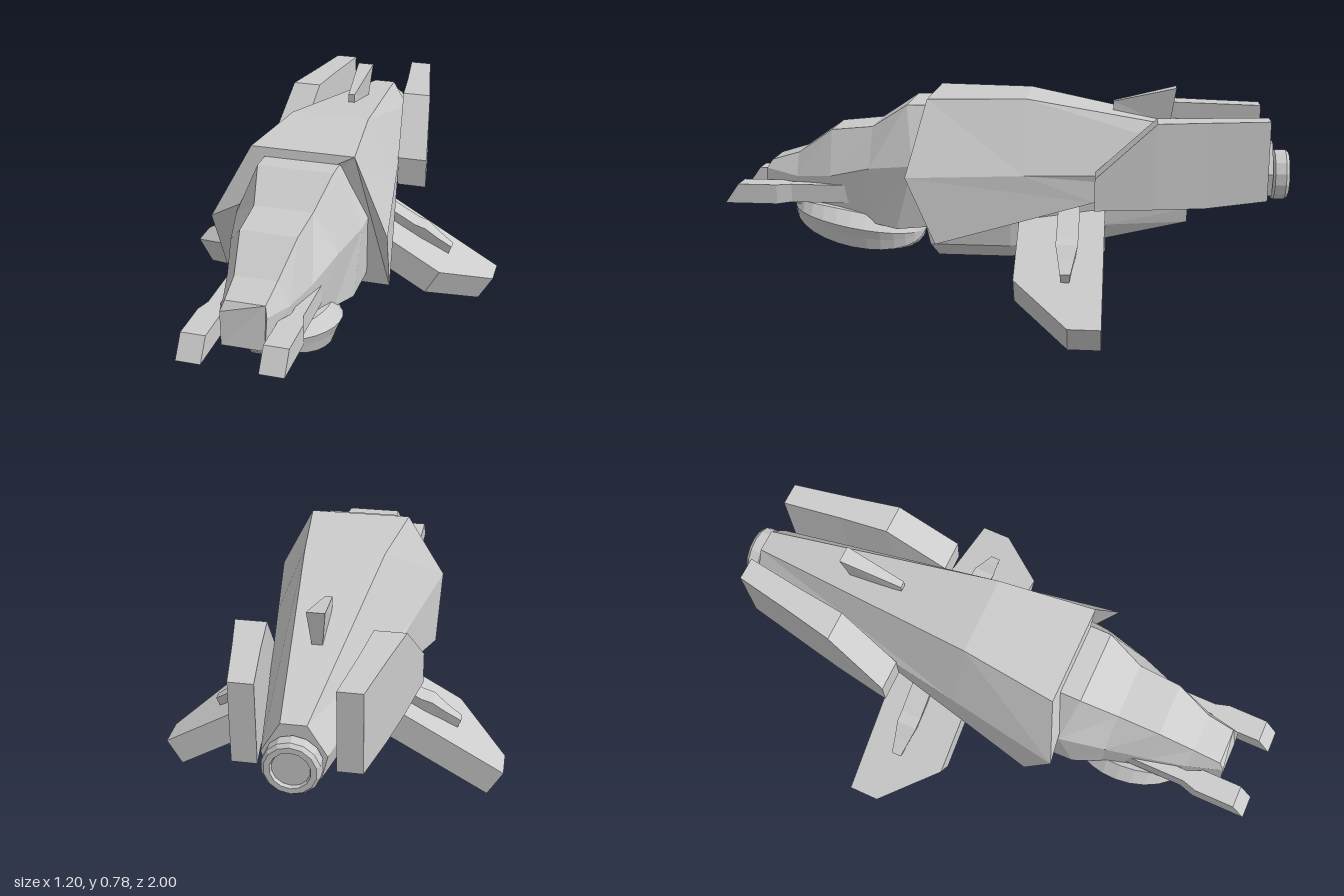
import * as THREE from 'three';

const material = new THREE.MeshStandardMaterial({ color: 0xcccccc, flatShading: true });

// Skin a row of equal-sized rings of [x, y, z] points and close both ends.
function loft(name, rings) {
  const tris = [];
  const n = rings[0].length;
  for (let r = 0; r < rings.length - 1; r++) {
    const a = rings[r], b = rings[r + 1];
    for (let i = 0; i < n; i++) {
      const j = (i + 1) % n;
      tris.push([a[i], a[j], b[j]], [a[i], b[j], b[i]]);
    }
  }
  const last = rings[rings.length - 1];
  for (let i = 1; i < n - 1; i++) {
    tris.push([rings[0][0], rings[0][i + 1], rings[0][i]], [last[0], last[i], last[i + 1]]);
  }
  // Turn the faces outward whichever way the rings were listed.
  const V = (p) => new THREE.Vector3(...p);
  let volume = 0;
  for (const [a, b, c] of tris) volume += V(a).dot(V(b).cross(V(c)));
  if (volume < 0) for (const t of tris) t.reverse();

  const geometry = new THREE.BufferGeometry();
  geometry.setAttribute('position', new THREE.Float32BufferAttribute(tris.flat(2), 3));
  geometry.computeVertexNormals();
  const mesh = new THREE.Mesh(geometry, material);
  mesh.name = name;
  return mesh;
}

// Complete a ring from its left half.
const sym = (half) => [...half, ...half.map(([x, y, z]) => [-x, y, z]).reverse()];

// Rectangular ring across z.
const rectZ = (z, x0, x1, y0, y1, zTop = z) => [[x0, y0, z], [x1, y0, z], [x1, y1, zTop], [x0, y1, zTop]];

const mirror = (rings, s) => rings.map((ring) => ring.map(([x, y, z]) => [x * s, y, z]));

export function createModel() {
  const model = new THREE.Group();

  // Main hull, tapering to the tail: top, shoulder and bottom corners per ring
  model.add(loft('hull', [
    [[0.18, 0.76, 0.26], [0.31, 0.51, 0.32], [0.3, 0.275, 0.22]],
    [[0.14, 0.76, -0.08], [0.243, 0.51, -0.08], [0.2, 0.41, -0.32]],
    [[0.04, 0.6, -0.94], [0.1, 0.5, -0.94], [0.08, 0.42, -0.94]],
  ].map(sym)));

  // Stepped cockpit nose
  model.add(loft('cockpit', [
    [[0.13, 0.73, 0.22], [0.225, 0.54, 0.22], [0.22, 0.32, 0.2]],
    [[0.13, 0.73, 0.34], [0.222, 0.53, 0.31], [0.21, 0.3, 0.37]],
    [[0.1, 0.645, 0.47], [0.185, 0.51, 0.47], [0.17, 0.31, 0.47]],
    [[0.095, 0.63, 0.62], [0.142, 0.47, 0.62], [0.135, 0.33, 0.62]],
    [[0.07, 0.54, 0.75], [0.108, 0.46, 0.75], [0.1, 0.355, 0.75]],
    [[0.065, 0.51, 0.85], [0.075, 0.48, 0.87], [0.07, 0.37, 0.88]],
  ].map(sym)));

  // Belly keel
  model.add(loft('belly', [
    [[0.19, 0.36, 0.28], [0.18, 0.24, 0.255], [0.14, 0.19, 0.23]],
    [[0.19, 0.36, -0.03], [0.18, 0.24, -0.03], [0.14, 0.19, -0.03]],
    [[0.13, 0.41, -0.35], [0.12, 0.31, -0.35], [0.09, 0.25, -0.35]],
    [[0.07, 0.43, -0.65], [0.06, 0.36, -0.65], [0.05, 0.31, -0.65]],
  ].map(sym)));

  // Ribbed chin pod: one grooved section swelling along a tilted axis
  const podSection = [[0.05, 0.06], [0.17, 0.055], [0.21, 0.005], [0.195, -0.03],
    [0.18, -0.075], [0.085, -0.065], [0.045, -0.115]];
  const podRings = [];
  for (let i = 0; i <= 14; i++) {
    const angle = Math.PI * (0.01 + 0.98 * i / 14);
    const s = Math.pow(Math.sin(angle), 0.9);
    const t = (1 - Math.cos(angle)) / 2;
    podRings.push(sym(podSection.map(([x, y]) => [x * s, 0.34 - 0.09 * t + y * s, 0.78 - 0.48 * t])));
  }
  model.add(loft('chinPod', podRings));

  // Tail fin, widening toward the back
  model.add(loft('tailFin', [
    [[0.012, 0.735, -0.38], [0.012, 0.68, -0.38]],
    [[0.03, 0.787, -0.6], [0.016, 0.65, -0.58]],
  ].map(sym)));

  // Engine nozzle
  const profile = [[0, -0.06], [0.075, -0.06], [0.075, 0], [0.09, 0.012], [0.09, 0.05],
    [0.08, 0.062], [0.062, 0.062], [0.058, 0.05], [0, 0.05]];
  const engine = new THREE.Mesh(
    new THREE.LatheGeometry(profile.map(([r, h]) => new THREE.Vector2(r, h)), 14), material);
  engine.name = 'engineNozzle';
  engine.rotation.x = -Math.PI / 2;
  engine.position.set(0, 0.48, -0.938);
  model.add(engine);

  // Drooping wing: the top surface falls at 30 degrees
  const wingRing = (x, lead) => {
    const y = 0.095 + (0.6 - x) * 0.577;
    return [[x, y, lead], [x, y, -0.36], [x - 0.052, y - 0.09, -0.36], [x - 0.052, y - 0.09, lead]];
  };
  const wing = [wingRing(0.12, -0.06), wingRing(0.425, -0.06), wingRing(0.6, -0.25)];

  // Wing cannon: [top x, top y, bottom x, bottom y, half depth]
  const cannon = [[0.14, 0.4, 0.12, 0.28, 0.038], [0.3, 0.31, 0.26, 0.24, 0.038],
    [0.34, 0.298, 0.3, 0.22, 0.038], [0.385, 0.262, 0.36, 0.21, 0.028], [0.44, 0.225, 0.425, 0.185, 0.018],
  ].map(([xt, yt, xb, yb, d]) => [
    [xt, yt, -0.235 + d], [xt, yt, -0.235 - d],
    [xb, yb, -0.235 - d * 0.7], [xb, yb, -0.235 + d * 0.7]]);

  // Rear side slab with a raked front
  const slab = [
    rectZ(-0.325, 0.2, 0.31, 0.41, 0.52),
    rectZ(-0.53, 0.17, 0.275, 0.41, 0.705),
    rectZ(-0.7, 0.15, 0.24, 0.41, 0.705),
    rectZ(-0.91, 0.12, 0.2, 0.43, 0.705),
  ];

  // Nose gun with a slanted muzzle on a slim arm
  const gun = [
    rectZ(0.5, 0.115, 0.155, 0.375, 0.44),
    rectZ(0.76, 0.115, 0.155, 0.375, 0.44),
    rectZ(0.81, 0.09, 0.17, 0.37, 0.44),
    rectZ(1, 0.09, 0.17, 0.37, 0.44, 0.95),
  ];

  for (const [side, s] of [['left', 1], ['right', -1]]) {
    model.add(loft(side + 'Wing', mirror(wing, s)));
    model.add(loft(side + 'WingCannon', mirror(cannon, s)));
    model.add(loft(side + 'RearSlab', mirror(slab, s)));
    model.add(loft(side + 'NoseGun', mirror(gun, s)));
  }
  return model;
}
